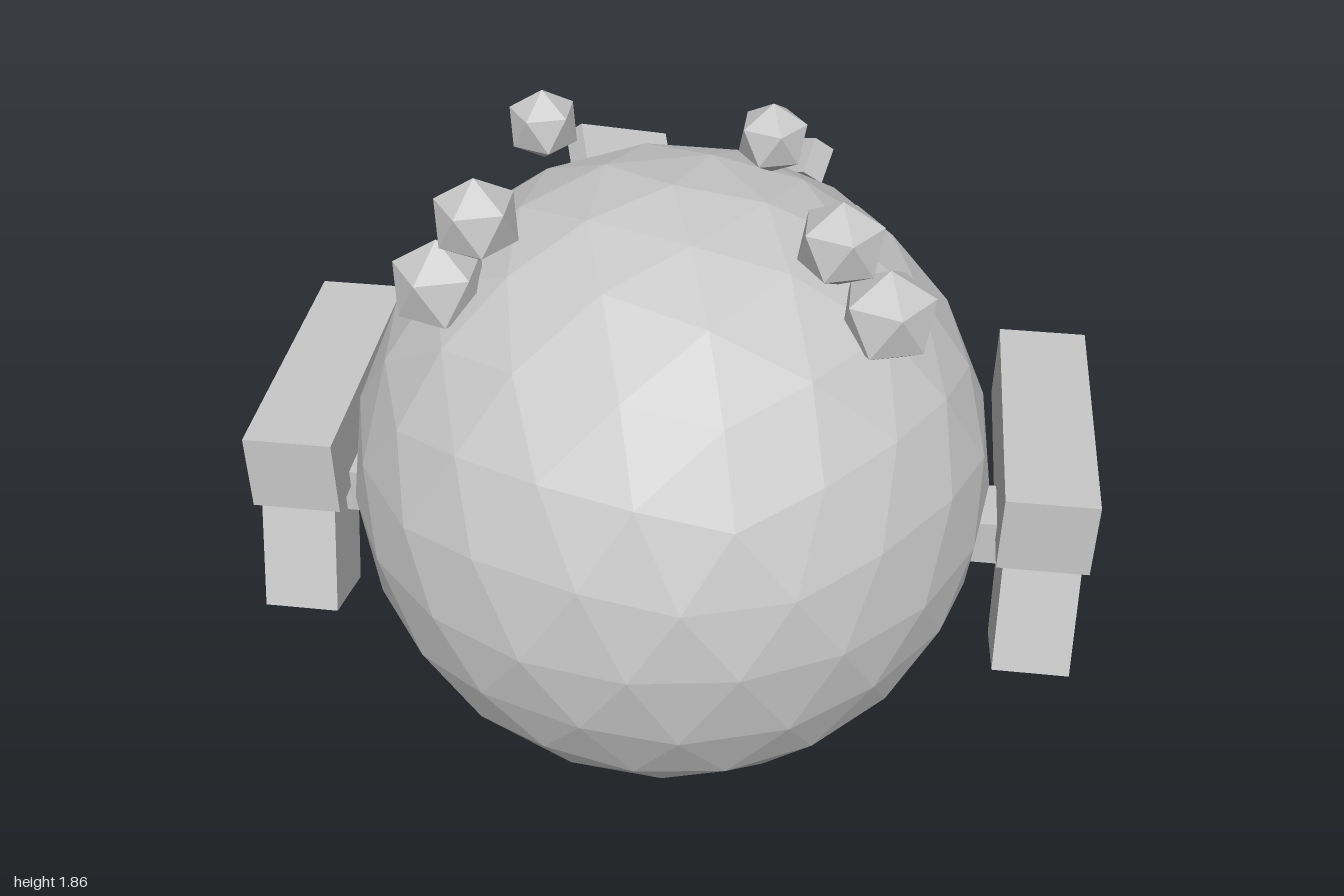
import * as THREE from 'three';

const grey = new THREE.MeshStandardMaterial({ color: 0xc8c8c8 });
const CENTER = new THREE.Vector3(0, 0.763, 0.01);
const RADIUS = 0.763;
const V = (x, y, z) => new THREE.Vector3(x, y, z);

// Separate faces so every facet gets its own normal
function faceted(geometry) {
  const g = geometry.index ? geometry.toNonIndexed() : geometry;
  g.computeVertexNormals();
  return g;
}

// Icosphere standing on a vertex, each level halving the edges
function icosphere(radius, levels) {
  let g = new THREE.IcosahedronGeometry(1, 0);
  for (let i = 0; i < levels; i++) {
    const p = Array.from(g.attributes.position.array);
    g = new THREE.PolyhedronGeometry(p, p.map((_, k) => k).slice(0, p.length / 3), 1, 1);
  }
  g.scale(radius, radius, radius);
  g.rotateZ(-Math.atan(2 / (1 + Math.sqrt(5))));
  return faceted(g);
}

export function createModel() {
  const model = new THREE.Group();
  model.name = 'roundCreature';

  function add(parent, name, geometry, position) {
    const mesh = new THREE.Mesh(geometry, grey);
    mesh.name = name;
    mesh.position.copy(position);
    parent.add(mesh);
    return mesh;
  }

  // Turn a part so its local z points along the normal and its local x along the given direction
  function orient(mesh, normal, along) {
    const z = normal.clone().normalize();
    const y = z.clone().cross(along).normalize();
    const x = y.clone().cross(z);
    mesh.quaternion.setFromRotationMatrix(new THREE.Matrix4().makeBasis(x, y, z));
  }

  add(model, 'body', icosphere(RADIUS, 2), CENTER);

  // Mouth: half-round plate with a flat lower edge
  const lip = new THREE.Shape();
  lip.absellipse(0, 0, 0.16, 0.137, 0, Math.PI, false);
  lip.closePath();
  const mouthGeometry = new THREE.ExtrudeGeometry(lip, { depth: 0.045, bevelEnabled: false, curveSegments: 12 });
  const mouth = add(model, 'mouth', faceted(mouthGeometry), V(0, 0.832, -0.729));
  orient(mouth, V(0, 0.13, -0.99), V(-1, 0, 0));

  for (const s of [1, -1]) {
    const side = new THREE.Group();
    side.name = s > 0 ? 'leftSide' : 'rightSide';
    model.add(side);

    // Horn of three floating stones, shrinking upwards
    const stones = [
      [0.485, 1.355, 0.205, 0.113],
      [0.378, 1.56, 0.262, 0.098],
      [0.23, 1.782, 0.243, 0.075],
    ];
    for (const [x, y, z, r] of stones) {
      const stone = add(side, 'hornStone', icosphere(r, 0), V(s * x, y, z));
      if (s < 0) stone.rotation.y = Math.PI;
    }

    // Eye and pupil: stacked discs facing outwards
    const look = V(s * 0.235, 0.405, -0.61).normalize();
    const disc = (name, radius, from, to, shift) => {
      const g = new THREE.CylinderGeometry(radius, radius, to - from, 14).rotateX(Math.PI / 2);
      const at = CENTER.clone().addScaledVector(look, (from + to) / 2).add(shift);
      orient(add(side, name, faceted(g), at), look, V(-1, 0, 0));
    };
    disc('eye', 0.125, 0.72, 0.775, V(0, 0, 0));
    disc('pupil', 0.08, 0.74, 0.79, V(s * 0.02, -0.02, -0.006));

    // Slanted brow, low towards the middle
    const brow = add(side, 'brow', new THREE.BoxGeometry(0.27, 0.065, 0.09), V(s * 0.205, 1.295, -0.545));
    orient(brow, V(s * 0.25, 0.675, -0.7), V(-s * 0.2, -0.11, -0.18));

    // Blaster arm
    const box = (name, w, h, d, x, y, z) =>
      add(side, name, new THREE.BoxGeometry(w, h, d), V(s * x, y, z));
    box('blasterBarrel', 0.215, 0.2, 0.695, 0.8925, 0.776, -0.14);
    box('blasterMuzzle', 0.18, 0.145, 0.06, 0.8925, 0.777, -0.495);
    box('blasterTrigger', 0.08, 0.06, 0.17, 0.8925, 0.63, -0.063);
    box('armJoint', 0.12, 0.12, 0.147, 0.745, 0.66, 0.034);
    const grip = box('blasterGrip', 0.182, 0.4, 0.2, 0.8925, 0.573, 0.121);
    grip.rotation.x = -0.3;
  }
  return model;
}
